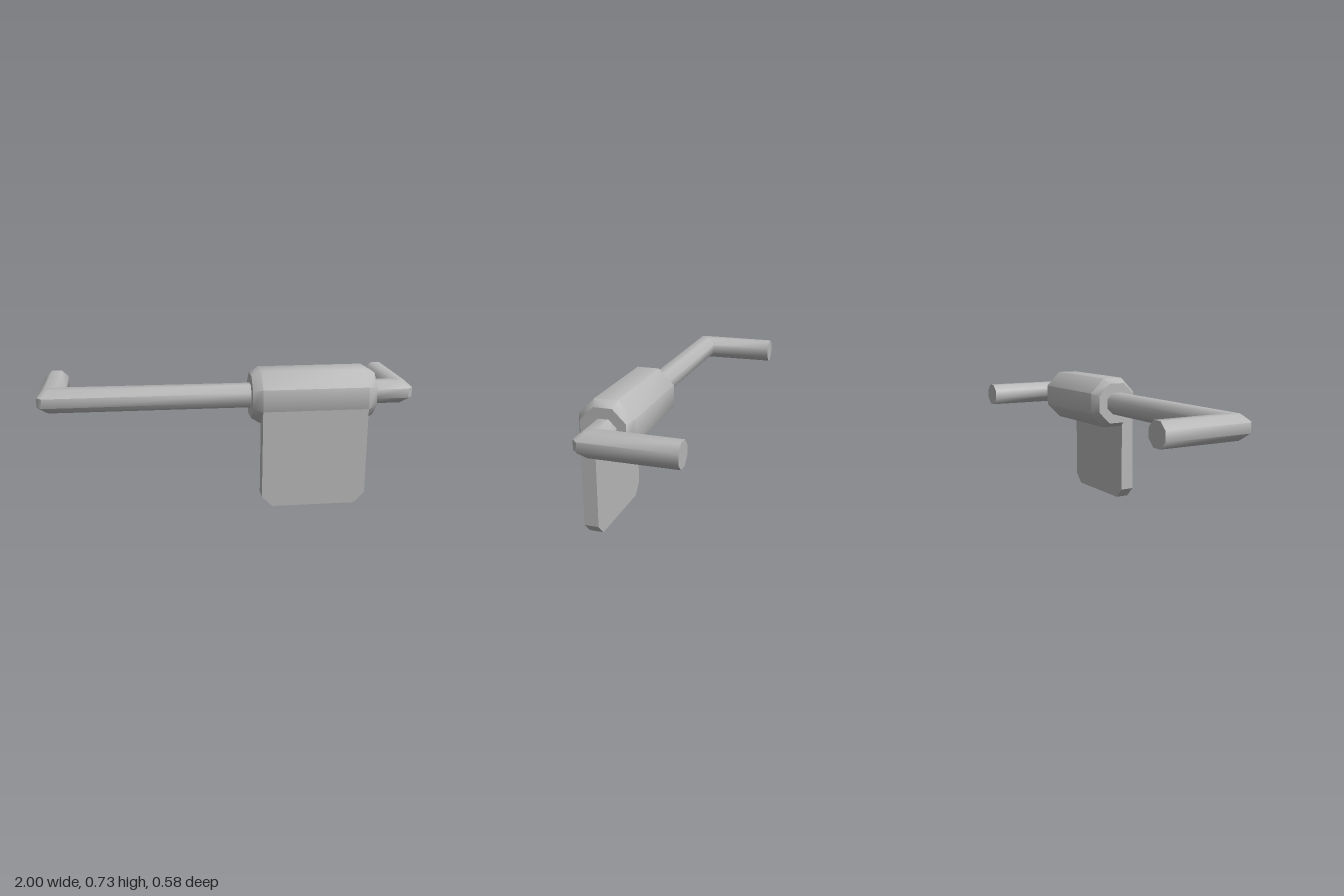
import * as THREE from 'three';
import { toCreasedNormals } from 'three/addons/utils/BufferGeometryUtils.js';

const SIDES = 8;
const AXIS_Y = 0.588, AXIS_Z = 0.147;
const FLAT = Math.cos(Math.PI / SIDES); // apothem / radius of an octagon
const CREASE = 0.9;

// Octagonal bar swept through stations, each given as [outer x, outer z, inner x, inner z]
function barGeometry(stations, halfHeight) {
  const pos = [], index = [];
  stations.forEach(([ox, oz, ix, iz]) => {
    for (let k = 0; k < SIDES; k++) {
      const a = ((k + 0.5) / SIDES) * Math.PI * 2;
      const t = (1 + Math.cos(a) / FLAT) / 2;
      pos.push(ix + (ox - ix) * t, AXIS_Y + (halfHeight * Math.sin(a)) / FLAT, iz + (oz - iz) * t);
    }
  });
  const last = (stations.length - 1) * SIDES;
  for (let r = 0; r < last; r += SIDES) {
    for (let k = 0; k < SIDES; k++) {
      const a = r + k, b = r + ((k + 1) % SIDES);
      index.push(a, b, a + SIDES, b, b + SIDES, a + SIDES);
    }
  }
  for (let k = 1; k < SIDES - 1; k++) {
    index.push(0, k + 1, k, last, last + k, last + k + 1); // end caps
  }
  const g = new THREE.BufferGeometry();
  g.setAttribute('position', new THREE.Float32BufferAttribute(pos, 3));
  g.setIndex(index);
  return toCreasedNormals(g, CREASE);
}

export function createModel() {
  const group = new THREE.Group();
  const grey = new THREE.MeshStandardMaterial({ color: 0xb8b8b8 });
  grey.name = 'grey';

  const add = (name, geometry) => {
    const mesh = new THREE.Mesh(geometry, grey);
    mesh.name = name;
    group.add(mesh);
    return mesh;
  };

  // Holder bar: wall arm, bevelled elbow and half the rod, mirrored for the other side
  const half = [
    [1, -0.29, 0.873, -0.29],
    [1, 0.18, 0.863, 0.068],
    [0.972, 0.209, 0.863, 0.068],
    [0.78, 0.208, 0.78, 0.08],
  ];
  const mirrored = half.map(([ox, oz, ix, iz]) => [-ox, oz, -ix, iz]).reverse();
  mirrored[0] = [0.12, 0.208, 0.12, 0.084];
  add('holderBar', barGeometry([...half, ...mirrored], 0.0615));

  // Paper roll with bevelled ends
  const x0 = 0.115, x1 = 0.78, bevel = 0.05;
  const h = (x1 - x0) / 2, R = 0.1425 / FLAT, r = 0.115 / FLAT;
  const profile = [[0, -h], [r, -h], [R, bevel - h], [R, h - bevel], [r, h], [0, h]]
    .map(([x, y]) => new THREE.Vector2(x, y));
  const rollGeometry = new THREE.LatheGeometry(profile, SIDES, Math.PI / SIDES);
  rollGeometry.rotateZ(-Math.PI / 2);
  add('paperRoll', toCreasedNormals(rollGeometry, CREASE))
    .position.set((x0 + x1) / 2, AXIS_Y, AXIS_Z);

  // Hanging sheet with cut lower corners
  const left = 0.165, right = 0.73, cut = 0.057;
  const outline = [[left + cut, 0], [right - cut, 0], [right, cut], [right, 0.53], [left, 0.53], [left, cut]]
    .map(([x, y]) => new THREE.Vector2(x, y));
  const sheet = new THREE.ExtrudeGeometry(new THREE.Shape(outline), { depth: 0.076, bevelEnabled: false });
  add('hangingSheet', sheet).position.z = 0.2135;

  return group;
}
